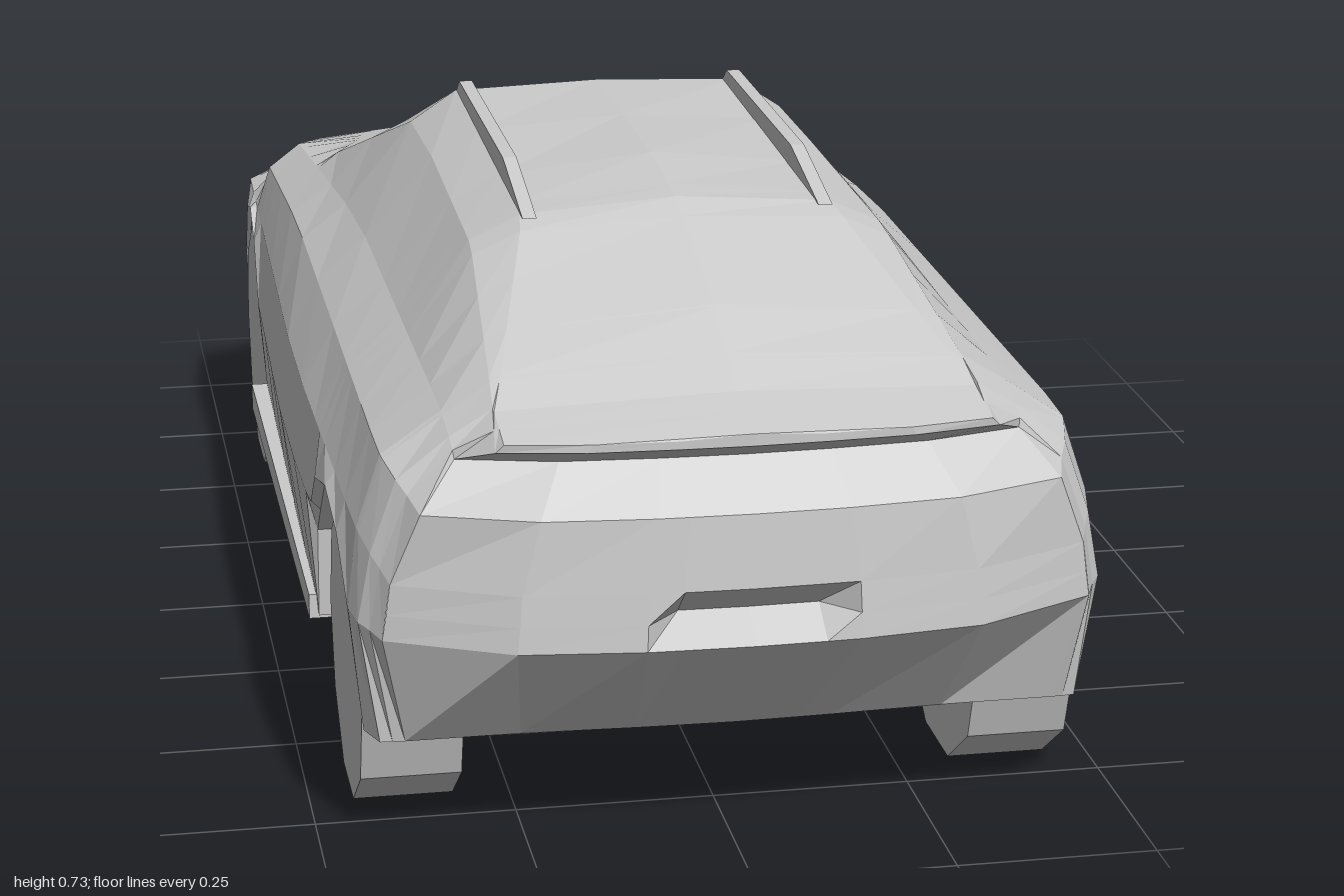
import * as THREE from 'three';

const grey = new THREE.MeshStandardMaterial({ color: 0xcccccc, flatShading: true, side: THREE.DoubleSide });
const AXLES = [-0.66, 0.625];
const INNER = 0.30; // inner wall of the wheel wells

// Linear interpolation through rows of [key, value, value...]
function at(rows, t) {
  if (t <= rows[0][0]) return rows[0].slice(1);
  for (let i = 1; i < rows.length; i++) {
    const a = rows[i - 1], b = rows[i];
    if (t <= b[0]) return a.slice(1).map((v, k) => v + (b[k + 1] - v) * (t - a[0]) / (b[0] - a[0]));
  }
  return rows[rows.length - 1].slice(1);
}

// Lengthwise body lines; the bonnet points to -z, the tailgate to +z
const floorHeight = [[-1, 0.155], [-0.87, 0.147], [1, 0.162]];
const lipWidth = [[-1, 0.36], [-0.86, 0.44], [0.45, 0.46], [0.8, 0.45], [1, 0.40]];
const centreHeight = [[-1, 0.455], [-0.7, 0.52], [-0.45, 0.545], [-0.12, 0.722], [0.3, 0.726], [0.48, 0.715], [0.72, 0.645], [0.88, 0.585], [1, 0.565]];
// Side lines as [z, x, y]: lower door, upper door, shoulder, window base, window top, roof edge
const sideLines = [
  [[-1, 0.39, 0.22], [-0.86, 0.445, 0.29], [0.2, 0.48, 0.335], [0.85, 0.46, 0.32], [1, 0.43, 0.31]],
  [[-1, 0.37, 0.32], [-0.86, 0.435, 0.40], [0.2, 0.465, 0.435], [0.8, 0.45, 0.42], [1, 0.42, 0.38]],
  [[-1, 0.33, 0.40], [-0.66, 0.42, 0.47], [-0.2, 0.42, 0.51], [0.8, 0.42, 0.51], [1, 0.385, 0.47]],
  [[-1, 0.28, 0.43], [-0.7, 0.37, 0.495], [0, 0.355, 0.57], [0.8, 0.345, 0.56], [1, 0.34, 0.525]],
  [[-1, 0.2, 0.445], [-0.45, 0.335, 0.545], [-0.1, 0.26, 0.68], [0.5, 0.265, 0.67], [1, 0.30, 0.55]],
  [[-1, 0.15, 0.45], [-0.45, 0.3, 0.55], [-0.12, 0.2, 0.715], [0.5, 0.2, 0.70], [0.88, 0.29, 0.575], [1, 0.29, 0.56]],
];

// Half wheel arch: [distance from axle, height]
const arch = [[0, 0.395], [0.1, 0.37], [0.185, 0.28], [0.195, 0]];

// Nose and tail contours: [height, reach]
const nose = [[0.147, 0.88], [0.2, 1], [0.25, 0.99], [0.40, 0.93], [0.43, 0.94], [0.455, 0.91]];
const tail = [[0.16, 0.87], [0.2, 0.96], [0.3, 1], [0.47, 0.985], [0.525, 0.93], [0.55, 0.975]];

// Bends the last stretch of the body onto the rounded nose or tail
function place(x, y, z) {
  const d = Math.abs(z), start = 0.86;
  if (d > start) {
    const round = 0.02 * Math.abs(x) + 0.1 * Math.pow(Math.abs(x) / 0.45, 4);
    const reach = Math.max(start + 0.005, at(z > 0 ? tail : nose, y)[0] - round);
    z = Math.sign(z) * (start + (d - start) / (1 - start) * (reach - start));
  }
  return [x, y, z];
}

// Half cross-section from floor centre, round the side, to roof centre
function section(z) {
  const [floorY] = at(floorHeight, z);
  const gap = Math.min(...AXLES.map(a => Math.abs(z - a)));
  const lipY = Math.max(floorY, at(arch, gap)[0]);
  const sides = sideLines.map(line => at(line, z));
  sides[0][1] = Math.max(sides[0][1], lipY + 0.012);
  return [[0, floorY], [INNER, floorY], [INNER, lipY], [at(lipWidth, z)[0], lipY],
    ...sides, [0, at(centreHeight, z)[0]]];
}

// Triangles between neighbouring rows of points
function skin(rows, out, flip, closed) {
  for (let r = 0; r < rows.length - 1; r++) {
    const n = rows[r].length;
    for (let c = 0; c < (closed ? n : n - 1); c++) {
      const k = (c + 1) % n;
      const [p, q, s, t] = [rows[r][c], rows[r][k], rows[r + 1][k], rows[r + 1][c]];
      out.push(...(flip ? [p, s, q, p, t, s] : [p, q, s, p, s, t]).flat());
    }
  }
}

function bodyGeometry() {
  // Sections at the bends of the roofline and at the corners of the arches
  const stations = [-0.93, -0.29, 0.09, 0.94, ...centreHeight.map(row => row[0])];
  for (const a of AXLES) for (const [d] of arch) stations.push(a + d, a - d);
  const sorted = [...new Set(stations)].sort((a, b) => a - b);
  const out = [];
  skin(sorted.map(z => {
    const half = section(z);
    const ring = [...half, ...half.slice(1, -1).reverse().map(([x, y]) => [-x, y])];
    return ring.map(([x, y]) => place(x, y, z));
  }), out, false, true);

  // Nose and tail faces, with a plate pocket in the tail
  const columns = [-1, -0.65, -0.3, -0.2, 0, 0.2, 0.3, 0.65, 1];
  for (const z of [-1, 1]) {
    const edge = section(z).slice(3);
    if (z > 0) edge.splice(2, 0, [0.425, 0.342]);
    skin(edge.map(([x, y], r) => columns.map(f => {
      const p = place(x * f, y, z);
      if (z > 0 && r === 2 && Math.abs(f) < 0.25) p[2] -= 0.045;
      return p;
    })), out, z < 0, false);
  }
  const g = new THREE.BufferGeometry();
  g.setAttribute('position', new THREE.Float32BufferAttribute(out, 3));
  g.computeVertexNormals();
  return g;
}

// Side outline in (z, y) extruded across the car, centred on x = 0
function sidePlate(points, width) {
  const shape = new THREE.Shape(points.map(p => new THREE.Vector2(...p)));
  const g = new THREE.ExtrudeGeometry(shape, { depth: width, bevelEnabled: false });
  // Turn the outline's x axis onto z
  return g.rotateY(-Math.PI / 2).translate(width / 2, 0, 0);
}

export function createModel() {
  const car = new THREE.Group();
  car.name = 'car';
  const add = (name, geometry, x, y = 0, z = 0) => {
    const mesh = new THREE.Mesh(geometry, grey);
    mesh.name = name;
    mesh.position.set(x, y, z);
    car.add(mesh);
  };
  add('body', bodyGeometry(), 0);

  const wheel = new THREE.CylinderGeometry(0.185, 0.185, 0.125, 10).rotateZ(Math.PI / 2);
  const rail = sidePlate([[-0.14, 0.70], [-0.09, 0.735], [0.33, 0.735], [0.5, 0.70]], 0.018);
  const sill = sidePlate([[-0.46, 0.147], [0.425, 0.152], [0.425, 0.185], [-0.46, 0.185]], 0.05);
  for (const [label, side] of [['left', 1], ['right', -1]]) {
    add(label + 'FrontWheel', wheel, side * 0.383, 0.185, AXLES[0]);
    add(label + 'RearWheel', wheel, side * 0.383, 0.185, AXLES[1]);
    add(label + 'RoofRail', rail, side * 0.19);
    add(label + 'Sill', sill, side * 0.447);
  }
  return car;
}
